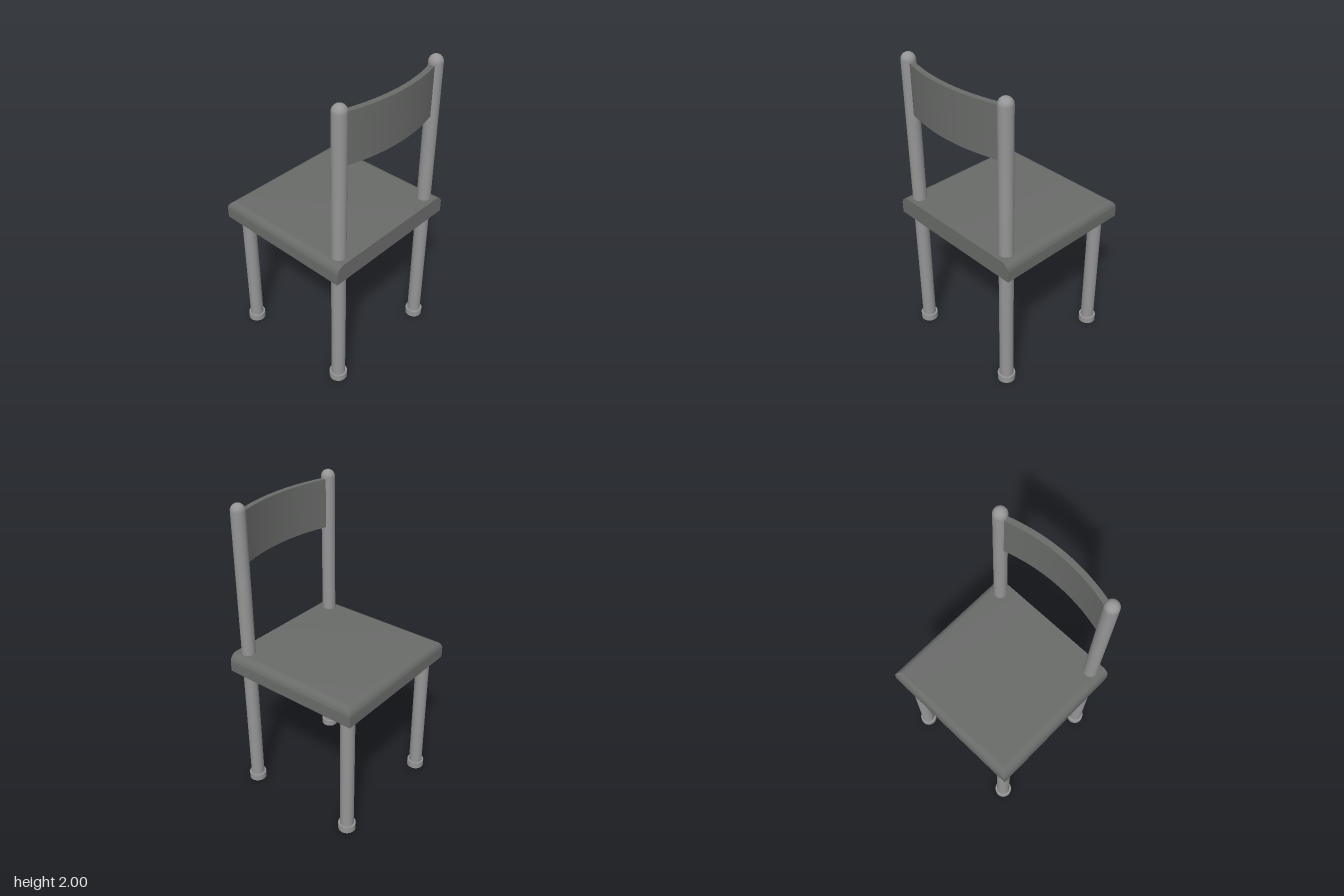
import * as THREE from 'three';
import { toCreasedNormals } from 'three/addons/utils/BufferGeometryUtils.js';

const POST_R = 0.0445, POST_X = 0.399, BACK_Z = 0.403, FRONT_Z = -0.391;
const SEAT_BOTTOM = 0.898, SEAT_TOP = 1.02;

// Stacked rectangles: left, right and far edges round over, the backrest edge stays square
function seatGeometry() {
  const halfX = 0.491, halfZ = 0.477, r = 0.055, steps = 10;
  const positions = [], index = [];
  const ring = (y, inset) => {
    const x = halfX - inset, z = -halfZ + inset;
    positions.push(-x, y, z, -x, y, halfZ, x, y, halfZ, x, y, z);
  };
  ring(SEAT_BOTTOM, 0);
  for (let i = 0; i <= steps; i++) {
    const t = (i / steps) * Math.PI / 2;
    ring(SEAT_TOP - r + r * Math.sin(t), r * (1 - Math.cos(t)));
  }
  const last = (steps + 1) * 4;
  for (let base = 0; base < last; base += 4) {
    for (let k = 0; k < 4; k++) {
      const a = base + k, b = base + (k + 1) % 4;
      index.push(a, b, b + 4, a, b + 4, a + 4);
    }
  }
  index.push(0, 2, 1, 0, 3, 2);
  index.push(last, last + 1, last + 2, last, last + 2, last + 3);
  const geometry = new THREE.BufferGeometry();
  geometry.setAttribute('position', new THREE.Float32BufferAttribute(positions, 3));
  geometry.setIndex(index);
  return toCreasedNormals(geometry, Math.PI / 6);
}

// Curved slat: an arc band extruded upwards
function slatGeometry() {
  const radius = 1.25, half = 0.018, angle = 0.305;
  const shape = new THREE.Shape();
  shape.absarc(0, 0, radius + half, -Math.PI / 2 - angle, -Math.PI / 2 + angle, false);
  shape.absarc(0, 0, radius - half, -Math.PI / 2 + angle, -Math.PI / 2 - angle, true);
  const geometry = new THREE.ExtrudeGeometry(shape, { depth: 0.32, bevelEnabled: false, curveSegments: 24 });
  geometry.rotateX(-Math.PI / 2);
  geometry.translate(0, 1.627, 0.459 - radius);
  return toCreasedNormals(geometry, Math.PI / 6);
}

export function createModel() {
  const model = new THREE.Group();
  const panelMaterial = new THREE.MeshStandardMaterial({ color: 0x6a6c6a });
  const frameMaterial = new THREE.MeshStandardMaterial({ color: 0x959595 });
  const add = (name, geometry, material, x = 0, y = 0, z = 0) => {
    const mesh = new THREE.Mesh(geometry, material);
    mesh.name = name;
    mesh.position.set(x, y, z);
    model.add(mesh);
  };

  add('seat', seatGeometry(), panelMaterial);
  add('backrest', slatGeometry(), panelMaterial);

  // Back posts run full height and end in a dome; every leg stands in a wider foot
  const domeY = 2 - POST_R;
  const backPost = new THREE.CylinderGeometry(POST_R, POST_R, domeY, 32, 1, true).translate(0, domeY / 2, 0);
  const dome = new THREE.SphereGeometry(POST_R, 32, 10, 0, Math.PI * 2, 0, Math.PI / 2);
  const frontLeg = new THREE.CylinderGeometry(POST_R, POST_R, SEAT_BOTTOM, 32).translate(0, SEAT_BOTTOM / 2, 0);
  const foot = new THREE.CylinderGeometry(0.057, 0.057, 0.045, 32).translate(0, 0.0225, 0);

  for (const [side, x] of [['left', POST_X], ['right', -POST_X]]) {
    add(side + 'BackPost', backPost, frameMaterial, x, 0, BACK_Z);
    add(side + 'PostDome', dome, frameMaterial, x, domeY, BACK_Z);
    add(side + 'FrontLeg', frontLeg, frameMaterial, x, 0, FRONT_Z);
    add(side + 'BackFoot', foot, frameMaterial, x, 0, BACK_Z);
    add(side + 'FrontFoot', foot, frameMaterial, x, 0, FRONT_Z);
  }
  return model;
}
